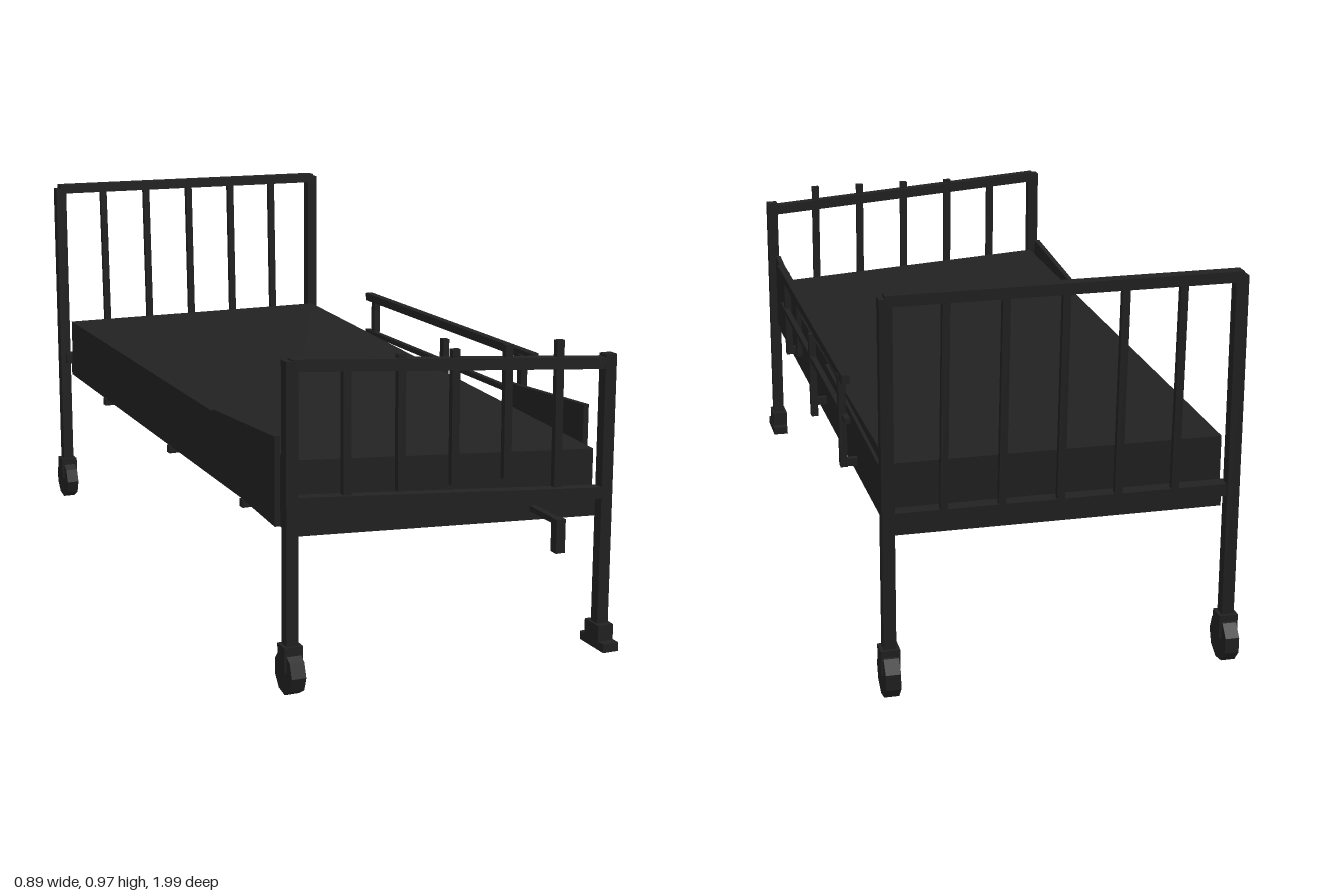
import * as THREE from 'three';

export function createModel() {
  const model = new THREE.Group();
  const black = new THREE.MeshStandardMaterial({ color: 0x222222 });
  black.name = 'charcoal';

  function add(name, geo, parent = model) {
    const m = new THREE.Mesh(geo, black);
    m.name = name;
    parent.add(m);
    return m;
  }
  function group(name) {
    const g = new THREE.Group();
    g.name = name;
    model.add(g);
    return g;
  }
  // Rectangular bar running from point a to point b
  function bar(name, a, b, w, d, parent) {
    const A = new THREE.Vector3(...a), B = new THREE.Vector3(...b);
    const dir = B.clone().sub(A);
    const m = add(name, new THREE.BoxGeometry(w, dir.length(), d), parent);
    m.position.copy(A).add(B).multiplyScalar(0.5);
    m.quaternion.setFromUnitVectors(new THREE.Vector3(0, 1, 0), dir.normalize());
    return m;
  }
  // Box whose bottom and top heights vary with (u, v): u = 0..1 along x, v = 0 back .. 1 front
  function slab(name, x0, x1, z0, z1, bottom, top, parent) {
    let g = new THREE.BoxGeometry(1, 1, 1).toNonIndexed();
    const p = g.attributes.position;
    for (let i = 0; i < p.count; i++) {
      const u = p.getX(i) + 0.5, v = p.getZ(i) + 0.5;
      const y = p.getY(i) > 0 ? top(u, v) : bottom(u, v);
      p.setXYZ(i, x0 + (x1 - x0) * u, y, z0 + (z1 - z0) * v);
    }
    g.computeVertexNormals();
    return add(name, g, parent);
  }

  const LEFT = 0.4, RIGHT = -0.422, FRONT = 0.88, BACK = -0.94;
  const slatX = [-0.285, -0.148, -0.01, 0.128, 0.265];

  // Tilted base and mattress, lowest at the front +x corner
  slab('bedBase', -0.405, 0.388, -0.92, 0.865,
    (u, v) => 0.39 - v * (0.02 + 0.04 * u), (u, v) => 0.445 - v * (0.01 + 0.04 * u));
  slab('mattress', -0.408, 0.388, -0.9, 0.845,
    (u, v) => 0.44 - v * (0.01 + 0.04 * u), (u, v) => 0.558 - v * (0.013 + 0.052 * u));

  // Cross bars below the base
  for (const z of [0.54, 0, -0.57]) {
    const y = 0.378 - (z + 0.57) * 0.012;
    bar('underBar', [-0.41, y, z], [-0.14, y, z], 0.02, 0.02);
  }

  // Headboard
  const head = group('headboard');
  for (const x of [RIGHT, LEFT]) {
    bar('headPost', [x, 0.09, BACK], [x, 0.962, BACK], 0.03, 0.03, head);
  }
  bar('headTopRail', [-0.425, 0.96, BACK], [0.402, 0.957, BACK], 0.026, 0.032, head);
  bar('headLowerRail', [RIGHT, 0.44, BACK + 0.01], [LEFT, 0.44, BACK + 0.01], 0.03, 0.035, head);
  for (const x of slatX) {
    bar('headSlat', [x + 0.005, 0.44, BACK], [x - 0.002, 0.955, BACK], 0.018, 0.016, head);
  }

  // Footboard, with rails falling towards +x
  const foot = group('footboard');
  bar('footPostRight', [RIGHT, 0.09, FRONT], [RIGHT, 0.785, FRONT], 0.03, 0.03, foot);
  bar('footPostLeft', [LEFT, 0.04, FRONT], [LEFT, 0.735, FRONT], 0.03, 0.03, foot);
  bar('footTopRail', [RIGHT, 0.775, FRONT], [LEFT, 0.713, FRONT], 0.028, 0.028, foot);
  bar('footLowerRail', [RIGHT, 0.457, FRONT], [LEFT, 0.393, FRONT], 0.028, 0.03, foot);
  slatX.forEach((x, i) => {
    bar('footSlat', [x + 0.002, i === 4 ? 0.42 : 0.455, FRONT], [x, 0.778, FRONT], 0.02, 0.016, foot);
  });

  // Thin side panels near the foot
  for (const x of [-0.416, 0.398]) {
    slab('footSidePanel', x - 0.007, x + 0.007, 0.38, 0.79,
      (u, v) => 0.4 - 0.025 * v, (u, v) => 0.565 + 0.025 * v);
  }
  // Low panel behind the guard rail
  slab('headSidePanel', 0.386, 0.396, -0.86, -0.07, () => 0.455, () => 0.525);

  // Guard rail on the +x side
  const rail = group('guardRail');
  bar('guardTopBar', [0.434, 0.641, 0.47], [0.421, 0.639, -0.535], 0.02, 0.022, rail);
  bar('guardMiddleBar', [0.43, 0.532, 0.47], [0.418, 0.532, -0.535], 0.014, 0.014, rail);
  for (const [z, y0, y1] of [[0.42, 0.4, 0.64], [-0.03, 0.37, 0.6], [-0.49, 0.4, 0.64]]) {
    bar('guardPost', [0.422, y0, z], [0.425, y1, z], 0.018, 0.022, rail);
  }
  for (const z of [0.42, -0.03, -0.49]) {
    bar('guardBracket', [0.38, 0.41, z], [0.425, 0.41, z], 0.02, 0.014, rail);
  }

  // Crank handle at the foot
  const crank = group('crank');
  bar('crankShaft', [0.213, 0.368, 0.85], [0.213, 0.368, 0.998], 0.016, 0.014, crank);
  bar('crankGrip', [0.215, 0.375, 0.985], [0.215, 0.293, 0.985], 0.024, 0.026, crank);

  // Casters: faceted wheel with a fork block
  function caster(x, z, radius, width) {
    const g = group('caster');
    g.position.set(x, 0, z);
    const wheel = add('wheel', new THREE.CylinderGeometry(radius, radius, width, 9)
      .toNonIndexed().rotateZ(Math.PI / 2), g);
    wheel.geometry.computeVertexNormals();
    wheel.position.y = radius;
    const fork = add('fork', new THREE.BoxGeometry(0.046, 0.06, 0.045), g);
    fork.position.y = radius + 0.036;
    return g;
  }
  caster(RIGHT, BACK, 0.056, 0.034);
  caster(LEFT, BACK, 0.056, 0.036);
  caster(RIGHT, FRONT, 0.053, 0.036);
  // Flattened caster under the low corner
  const low = group('flattenedCaster');
  low.position.set(LEFT, 0, FRONT);
  slab('wheelBase', -0.02, 0.022, -0.055, 0.055, () => 0, () => 0.022, low);
  slab('wheelBlock', -0.022, 0.02, -0.032, 0.032, () => 0.015, () => 0.062, low);

  return model;
}
